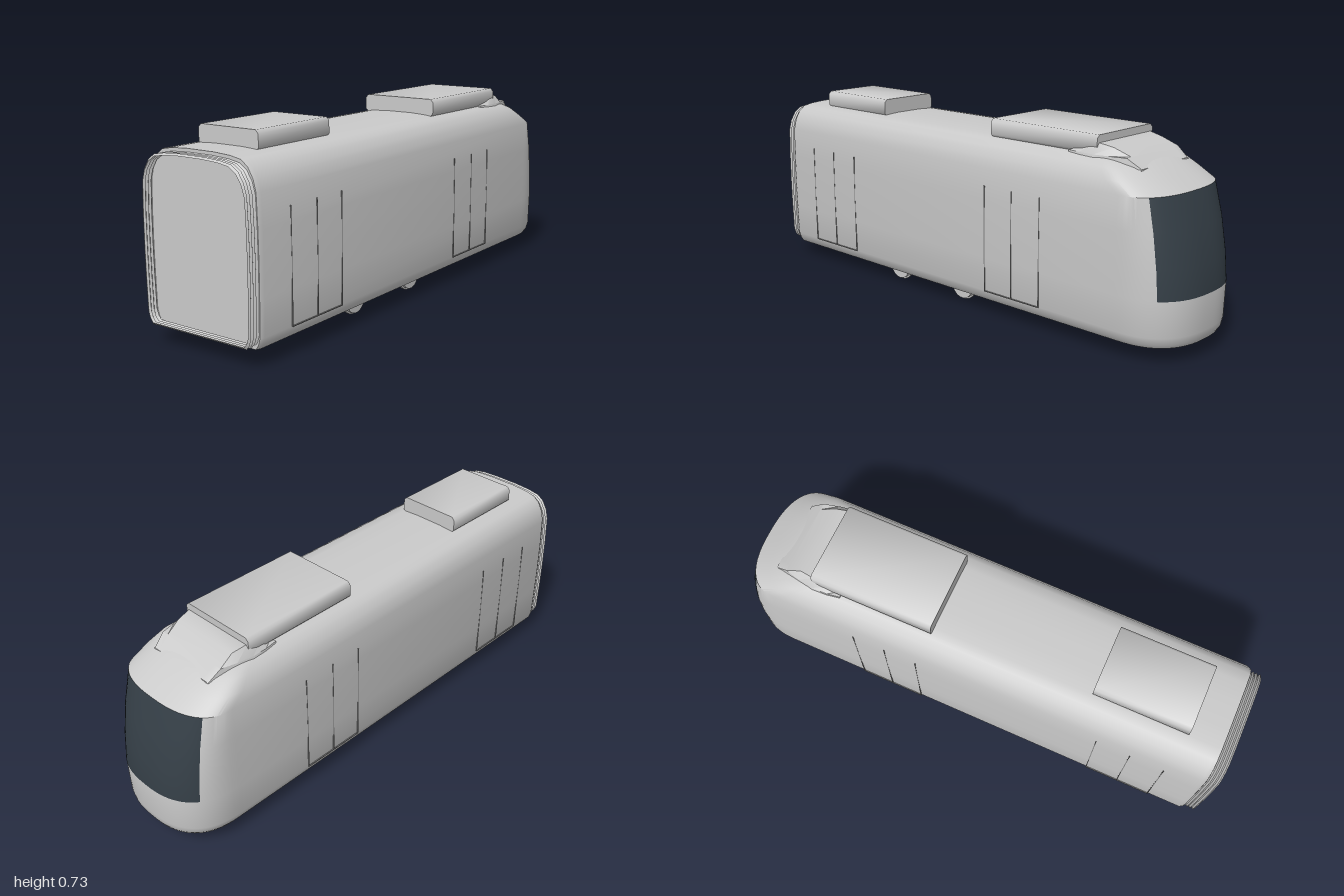
import * as THREE from 'three';
import { toCreasedNormals } from 'three/addons/utils/BufferGeometryUtils.js';

// Closed rings of [x, y, z] points skinned together; isGlass picks quads for material 1
function loft(rings, { caps = false, isGlass = () => false, crease = 0.58 } = {}) {
  const n = rings[0].length, pos = rings.flat(2), plain = [], glass = [];
  for (let i = 0; i < rings.length - 1; i++) {
    for (let j = 0; j < n; j++) {
      const k = (j + 1) % n, a = i * n, b = a + n;
      (isGlass(i, j) ? glass : plain).push(a + j, a + k, b + k, a + j, b + k, b + j);
    }
  }
  if (caps) {
    [0, rings.length - 1].forEach((r, end) => {
      const c = pos.length / 3;
      for (let d = 0; d < 3; d++) pos.push(rings[r].reduce((s, p) => s + p[d], 0) / n);
      for (let j = 0; j < n; j++) {
        const p = r * n + j, q = r * n + (j + 1) % n;
        plain.push(c, end ? p : q, end ? q : p);
      }
    });
  }
  const g = new THREE.BufferGeometry();
  g.setAttribute('position', new THREE.Float32BufferAttribute(pos, 3));
  g.setIndex([...plain, ...glass]);
  g.addGroup(0, plain.length, 0);
  if (glass.length) g.addGroup(plain.length, glass.length, 1);
  return toCreasedNormals(g, crease);
}

export function createModel() {
  const group = new THREE.Group();
  const body = new THREE.MeshStandardMaterial({ color: 0xcacaca, side: THREE.DoubleSide });
  body.name = 'body grey';
  const glass = new THREE.MeshStandardMaterial({ color: 0x353f47 });
  glass.name = 'dark glass';
  const seam = new THREE.MeshStandardMaterial({ color: 0x808080 });
  seam.name = 'seam grey';

  const add = (name, geometry, material, x = 0, y = 0, z = 0) => {
    const m = new THREE.Mesh(geometry, material);
    m.name = name;
    m.position.set(x, y, z);
    group.add(m);
    return m;
  };

  // Body levels: height, half width, z where the nose starts to round, z of the nose tip
  const levels = [
    [0.06, 0.217, -0.78, -0.985], [0.075, 0.228, -0.78, -0.993], [0.1, 0.236, -0.78, -0.997],
    [0.228, 0.239, -0.78, -1.0], [0.33, 0.24, -0.78, -0.988], [0.45, 0.239, -0.78, -0.962],
    [0.565, 0.235, -0.78, -0.924], [0.605, 0.224, -0.72, -0.86], [0.64, 0.203, -0.68, -0.80],
    [0.66, 0.175, -0.64, -0.755], [0.668, 0.13, -0.6, -0.72], [0.672, 0.06, -0.55, -0.68],
  ];
  const SEG = 40, POWER = 2 / 2.5;
  const rings = levels.map(([y, w, zs, zf]) => {
    const ring = [[w * 0.97, y, 0.955], [w, y, 0.94]];
    for (let s = 0; s <= SEG; s++) {
      const t = (s / SEG) * Math.PI, c = Math.cos(t);
      ring.push([
        w * Math.sign(c) * Math.abs(c) ** POWER, y,
        zs + (zf - zs) * Math.max(0, Math.sin(t)) ** POWER,
      ]);
    }
    ring.push([-w, y, 0.94], [-w * 0.97, y, 0.955]);
    return ring;
  });
  // Windscreen wraps the nose between levels 3 and 6
  const isGlass = (i, j) => i >= 3 && i < 6 && j >= 2 + 8 && j < 2 + SEG - 8;
  add('bodyShell', loft(rings, { caps: true, isGlass }), [body, glass]);

  // Ribbed gangway bellows around the open end
  const bellows = [];
  for (let k = 0; k <= 8; k++) {
    const inset = k % 2 ? 0.011 : 0.018, f = 1 - inset / 0.3;
    const right = levels.map(([y, w]) => [w - inset * 0.8, 0.37 + (y - 0.37) * f, 0.95 + k * 0.00625]);
    bellows.push([...right, ...right.map(([x, y, z]) => [-x, y, z]).reverse()]);
  }
  add('gangwayBellows', loft(bellows), body);

  // Roof fairing in front of the forward roof unit: z, half width, top height
  const fairing = [
    [-0.52, 0.15, 0.668], [-0.57, 0.158, 0.688], [-0.63, 0.16, 0.705],
    [-0.69, 0.15, 0.694], [-0.75, 0.135, 0.668], [-0.8, 0.12, 0.635],
  ].map(([z, w, y]) => [
    [w + 0.022, 0.63, z], [w + 0.016, Math.min(y, 0.668), z], [w - 0.01, y, z],
    [-w + 0.01, y, z], [-w - 0.016, Math.min(y, 0.668), z], [-w - 0.022, 0.63, z],
  ]);
  add('roofFairing', loft(fairing, { caps: true }), body);

  // Roof units with chamfered long edges
  const roofUnit = (name, w, z0, z1) => {
    const c = 0.012, lo = 0.662, hi = 0.731;
    const s = new THREE.Shape([
      [-w + c, lo], [w - c, lo], [w, lo + c], [w, hi - c],
      [w - c, hi], [-w + c, hi], [-w, hi - c], [-w, lo + c],
    ].map(([x, y]) => new THREE.Vector2(x, y)));
    const g = new THREE.ExtrudeGeometry(s, { depth: z1 - z0, bevelEnabled: false });
    add(name, toCreasedNormals(g, 0.9), body, 0, 0, z0);
  };
  roofUnit('frontRoofUnit', 0.16, -0.635, -0.152);
  roofUnit('rearRoofUnit', 0.13, 0.467, 0.83);

  // Wheels with inner flanges, joined by axles
  const disc = (r, width) => new THREE.CylinderGeometry(r, r, width, 32).rotateZ(Math.PI / 2);
  for (const z of [0, 0.36]) {
    for (const side of [-1, 1]) {
      add('wheel', disc(0.054, 0.024), body, side * 0.151, 0.06, z);
      add('wheelFlange', disc(0.06, 0.008), body, side * 0.146, 0.06, z);
    }
    add('axle', disc(0.006, 0.28), body, 0, 0.06, z);
  }

  // Double door seams on both sides
  for (const side of [-1, 1]) {
    for (const [mid, half] of [[0.675, 0.132], [-0.322, 0.13]]) {
      const strip = (name, h, d, y, z) =>
        add(name, new THREE.BoxGeometry(0.005, h, d), seam, side * 0.2378, y, z);
      for (const o of [-half, 0, half]) strip('doorSeam', 0.4, 0.003, 0.3, mid + o);
      strip('doorSill', 0.003, half * 2, 0.1, mid);
    }
  }
  return group;
}
